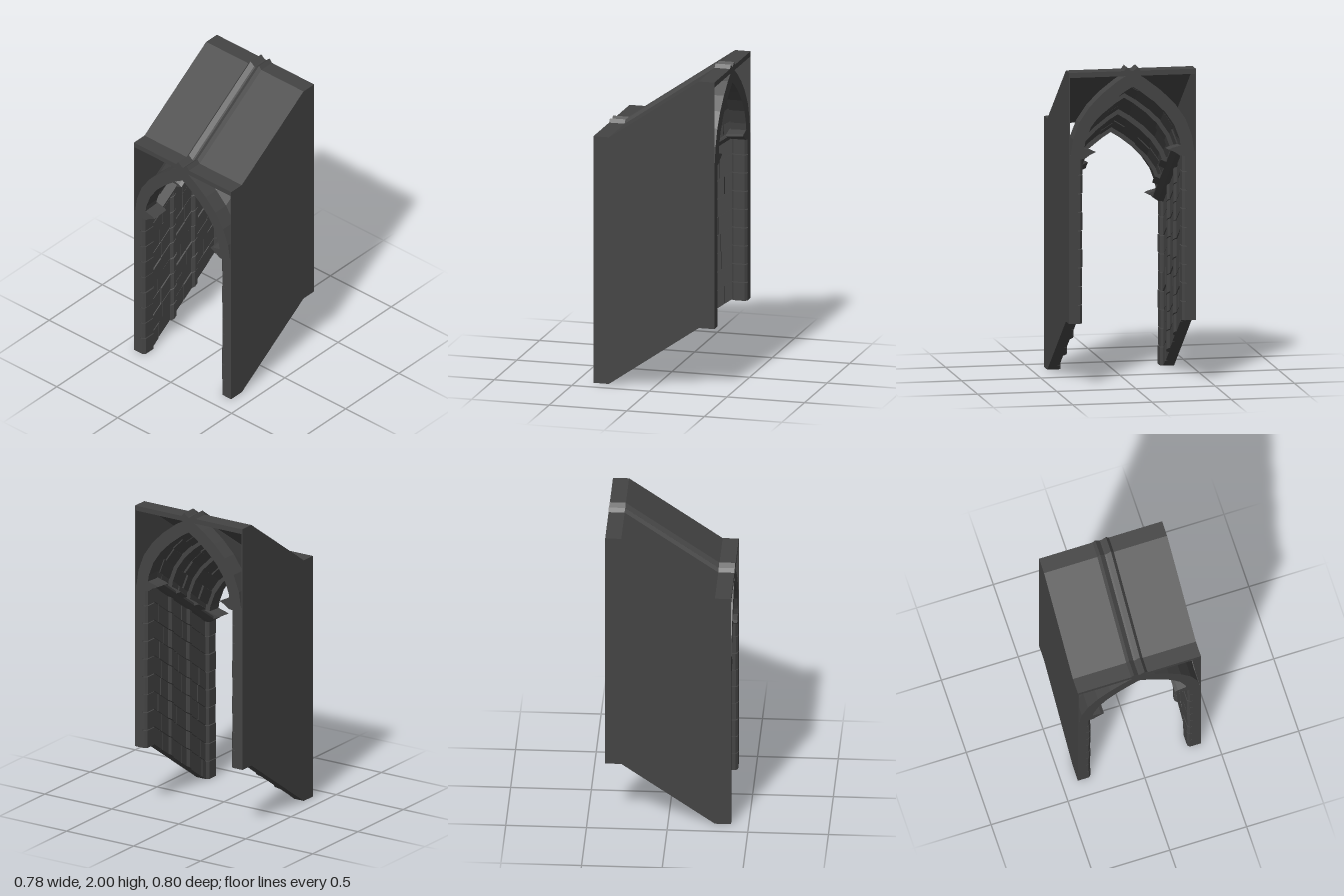
import * as THREE from 'three';

const HALF = 0.39, BEND = 0.29, RISE = 0.4;
const stone = new THREE.MeshStandardMaterial({ color: 0x444444, flatShading: true, side: THREE.DoubleSide });

// Floor height along the passage: level, sloping, level
const ramp = x => RISE * THREE.MathUtils.clamp((x + BEND) / (2 * BEND), 0, 1);

let seed = 7;
const rand = () => (seed = (seed * 16807) % 2147483647) / 2147483647;

function shear(geo) {
  const p = geo.attributes.position;
  for (let i = 0; i < p.count; i++) p.setY(i, p.getY(i) + ramp(p.getX(i)));
  geo.computeVertexNormals();
  return geo;
}

const outline = pts => new THREE.Shape(pts.map(([a, b]) => new THREE.Vector2(a, b)));

// Sweep a [z, y] profile along x; a full-length sweep bends with the ramp
function sweep(pts, side, x0 = -HALF, x1 = HALF) {
  const full = x0 === -HALF && x1 === HALF;
  const geo = new THREE.ExtrudeGeometry(outline(pts.map(([z, y]) => [-side * z, y])),
    { depth: 3, steps: full ? 3 : 1, bevelEnabled: false });
  geo.rotateY(Math.PI / 2);
  const p = geo.attributes.position, stops = [-HALF, -BEND, BEND, HALF];
  for (let i = 0; i < p.count; i++) {
    const t = p.getX(i);
    p.setX(i, full ? stops[Math.round(t)] : x0 + (x1 - x0) * t / 3);
  }
  return shear(geo);
}

// Raise an [x, z] plan from y0 to y1
function raise(pts, side, y0, y1) {
  const geo = new THREE.ExtrudeGeometry(outline(pts.map(([x, z]) => [x, -side * z])),
    { depth: y1 - y0, bevelEnabled: false });
  geo.rotateX(-Math.PI / 2);
  geo.translate(0, y0, 0);
  return shear(geo);
}

const rect = (z0, z1, y0, y1) => [[z0, y0], [z1, y0], [z1, y1], [z0, y1]];

// Outer curve of half the pointed vault, [z, y]
const ARC = [[0.39, 1.06], [0.375, 1.16], [0.335, 1.265], [0.27, 1.36], [0.19, 1.44], [0.1, 1.51], [0, 1.572], [-0.035, 1.6]];

// Point on the curve moved inwards by d
function inset(i, d) {
  const a = ARC[Math.max(i - 1, 0)], b = ARC[Math.min(i + 1, ARC.length - 1)];
  const dz = b[0] - a[0], dy = b[1] - a[1], l = Math.hypot(dz, dy);
  return i === 0 ? [ARC[0][0] - d, ARC[0][1]] : [ARC[i][0] - dy / l * d, ARC[i][1] + dz / l * d];
}

// Band of the vault between two depths, for curve points i0..i1
function band(d0, d1, i0, i1) {
  const out = [], inn = [];
  for (let i = i0; i <= i1; i++) {
    out.push(inset(i, d0));
    inn.unshift(inset(i, d1));
  }
  return [...out, ...inn];
}

const PIERS = [[-HALF, -BEND], [-0.125, -0.075], [0.075, 0.125], [BEND, HALF]];
const BAYS = [[-BEND, -0.125], [-0.075, 0.075], [0.125, BEND]];
const COURSES = 9, COURSE = 1.05 / COURSES, GAP = 0.003;

export function createModel() {
  const model = new THREE.Group();
  model.name = 'slopingVaultedPassage';

  const group = name => {
    const g = new THREE.Group();
    g.name = name;
    model.add(g);
    return g;
  };
  const add = (parent, name, geo) => {
    const m = new THREE.Mesh(geo, stone);
    m.name = name;
    parent.add(m);
  };

  // Thin roof slab
  add(model, 'roof', sweep(rect(-0.4, 0.4, 1.545, 1.577), 1));

  for (const side of [1, -1]) {
    const label = side > 0 ? 'front' : 'back';
    const walls = group(label + 'Wall'), piers = group(label + 'Piers'), vault = group(label + 'Vault');

    // Outer skin, inner backing and cornice
    add(walls, 'outerWall', sweep(rect(0.394, 0.4, 0, 1.577), side));
    add(walls, 'innerWall', sweep(rect(0.345, 0.394, 0, 1.06), side));
    add(walls, 'cornice', sweep([[0.35, 1.03], [0.3, 1.035], [0.265, 1.06], [0.265, 1.075], [0.35, 1.08]], side));

    // Stone courses on walls and piers
    for (let c = 0; c < COURSES; c++) {
      const y0 = c * COURSE + (c ? GAP : 0), y1 = (c + 1) * COURSE - GAP;
      for (const [x0, x1] of BAYS) {
        const cut = x0 + (x1 - x0) * (0.25 + 0.5 * rand());
        for (const [a, b] of [[x0, cut - GAP], [cut + GAP, x1]]) {
          add(walls, 'wallStone', sweep(rect(0.336 - 0.008 * rand(), 0.35, y0, y1), side, a, b));
        }
      }
      for (const [x0, x1] of PIERS) {
        const z = 0.312 + 0.005 * rand(), k = 0.014;
        add(piers, 'pierStone', raise(
          [[x0, 0.35], [x0, z + k], [x0 + k, z], [x1 - k, z], [x1, z + k], [x1, 0.35]], side, y0, y1));
      }
    }

    // Vault shell, its upper edge passing through the roof as a ridge
    add(vault, 'vaultShell', sweep(band(0, 0.042, 0, 7), side));

    // Capitals and ribs above the piers
    for (const [x0, x1] of PIERS) {
      const a = Math.max(x0 - 0.012, -HALF), b = Math.min(x1 + 0.012, HALF);
      add(piers, 'capital', sweep(
        [[0.35, 1.03], [0.295, 1.045], [0.23, 1.075], [0.25, 1.085], [0.31, 1.1], [0.35, 1.1]], side, a, b));
      add(vault, 'rib', sweep(band(0.04, 0.08, 0, 6), side, x0, x1));
    }

    // Vault stones between the ribs
    for (const [x0, x1] of BAYS) {
      for (let i = 0; i < 6; i++) {
        const cut = x0 + (x1 - x0) * (0.3 + 0.4 * rand());
        for (const [a, b] of [[x0, cut - GAP], [cut + GAP, x1]]) {
          add(vault, 'vaultStone', sweep(band(0.04, 0.048 + 0.01 * rand(), i, i + 1), side, a, b));
        }
      }
    }
  }
  return model;
}
